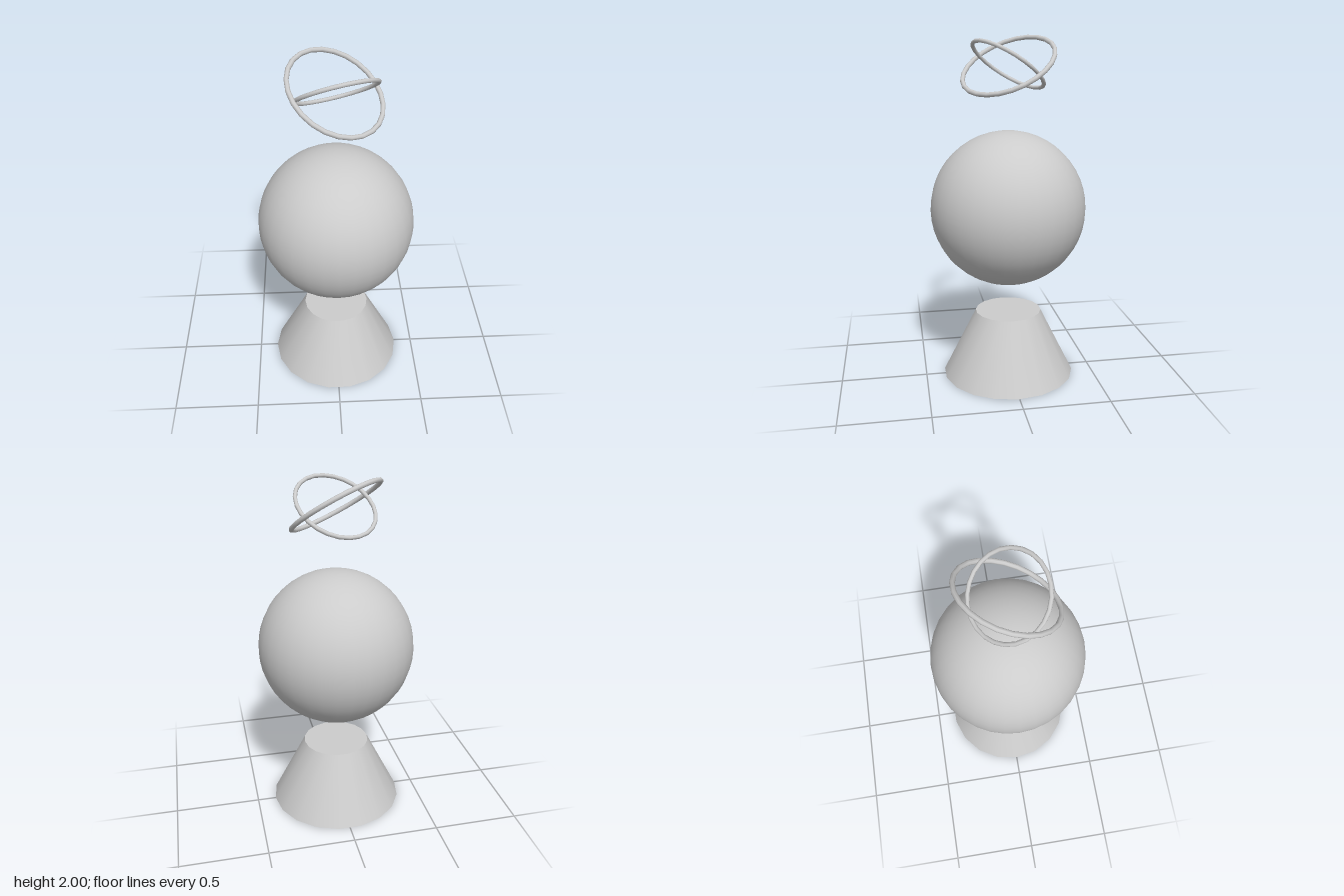
import * as THREE from 'three';

export function createModel() {
  const model = new THREE.Group();
  const material = new THREE.MeshStandardMaterial({ color: 0xcccccc });

  const add = (name, geometry, y) => {
    const mesh = new THREE.Mesh(geometry, material);
    mesh.name = name;
    mesh.position.y = y;
    model.add(mesh);
    return mesh;
  };

  // Tapered pedestal standing on the ground
  const pedestal = add('pedestal', new THREE.CylinderGeometry(0.195, 0.39, 0.39, 18), 0.195);
  pedestal.rotation.y = Math.PI / 2;

  // Floating globe
  add('globe', new THREE.SphereGeometry(0.45, 32, 24), 1.02);

  // Two crossed rings hovering above, each tilted to its own axis
  const addRing = (name, radius, tube, axis) => {
    const ring = add(name, new THREE.TorusGeometry(radius, tube, 8, 24), 1.835);
    ring.quaternion.setFromUnitVectors(new THREE.Vector3(0, 0, 1), axis.normalize());
  };
  addRing('largeRing', 0.272, 0.0135, new THREE.Vector3(0.395, 0.828, 0.395));
  addRing('smallRing', 0.228, 0.0115, new THREE.Vector3(-0.21, 0.81, -0.53));

  return model;
}
